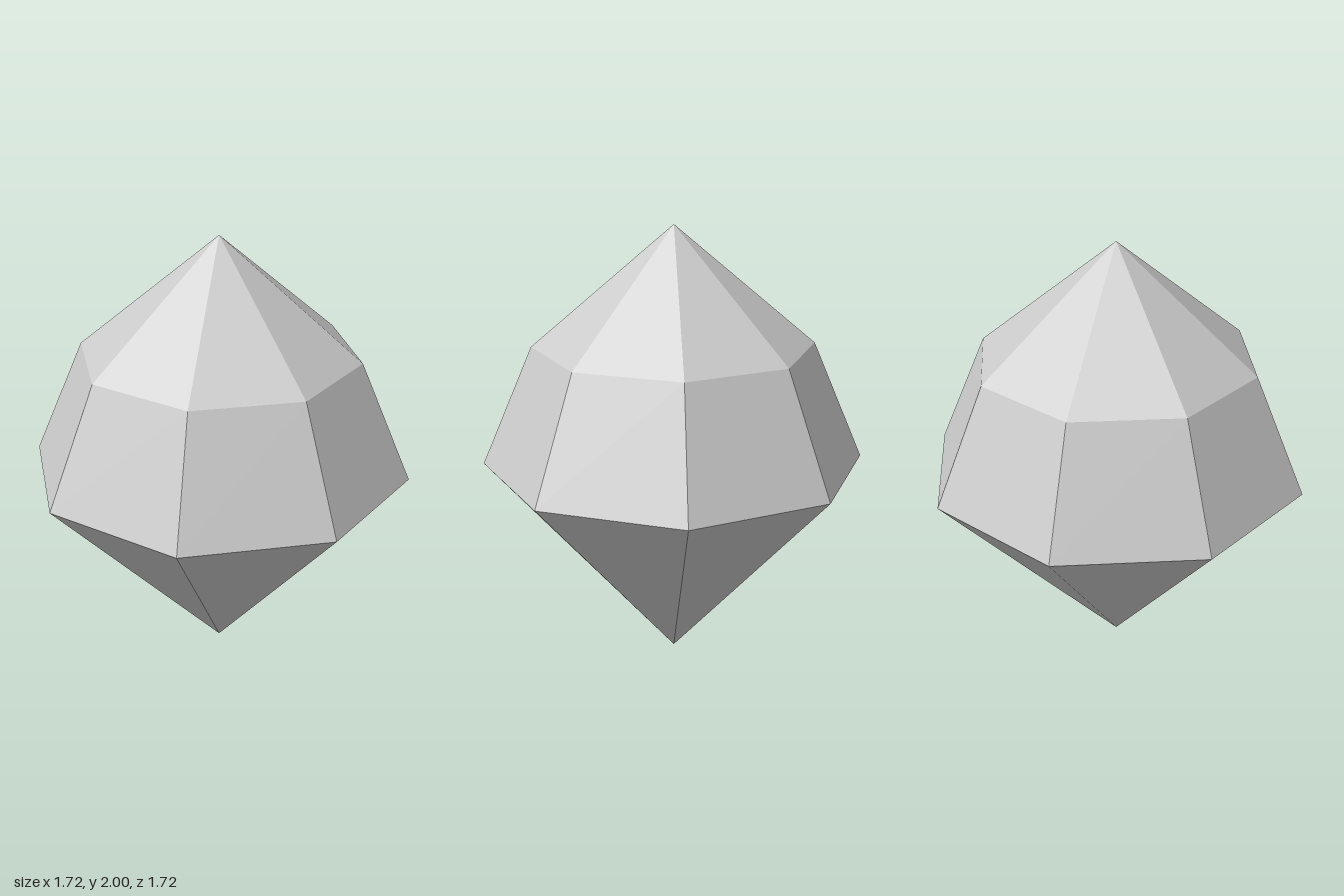
import * as THREE from 'three';

const SIDES = 8;

export function createModel() {
  const gem = new THREE.Group();
  gem.name = 'gem';
  const grey = new THREE.MeshStandardMaterial({ color: 0xcccccc, flatShading: true });
  grey.name = 'light grey';

  // One open, eight-sided ring of facets between two heights
  const addFacets = (name, yBottom, rBottom, yTop, rTop) => {
    const height = yTop - yBottom;
    const geometry = new THREE.CylinderGeometry(rTop, rBottom, height, SIDES, 1, true);
    const mesh = new THREE.Mesh(geometry, grey);
    mesh.name = name;
    mesh.position.y = yBottom + height / 2;
    gem.add(mesh);
  };

  addFacets('lowerPoint', 0, 0, 0.935, 0.858);
  addFacets('middleBand', 0.935, 0.858, 1.47, 0.628);
  addFacets('upperPoint', 1.47, 0.628, 2, 0);

  return gem;
}
